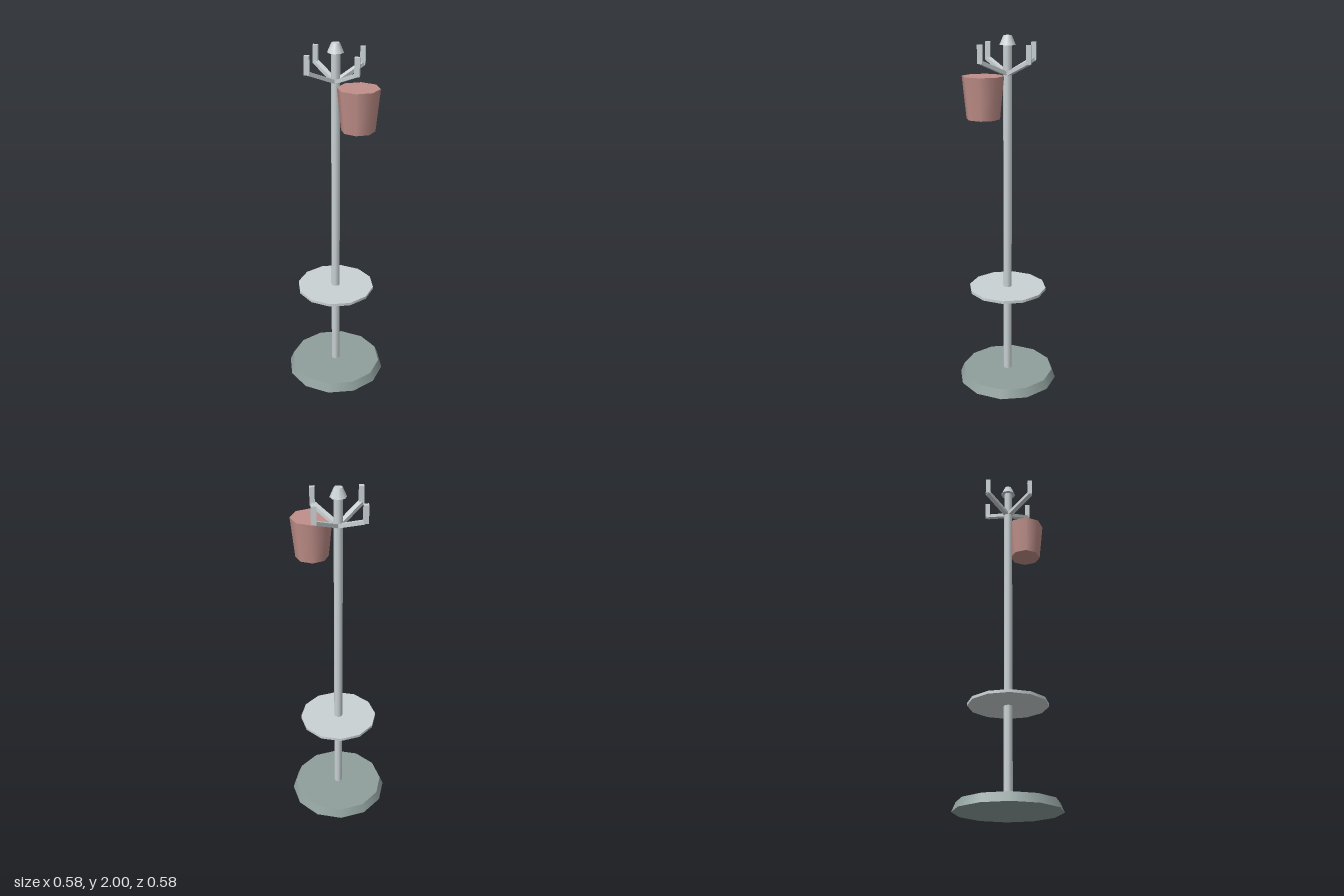
import * as THREE from 'three';

export function createModel() {
  const root = new THREE.Group();
  root.name = 'coatStand';
  const mat = (name, color) => {
    const m = new THREE.MeshStandardMaterial({ color });
    m.name = name;
    return m;
  };
  const metal = mat('paleGreyMetal', 0xcad2d4);
  const baseMat = mat('greyGreen', 0x8f9f9c);
  const potMat = mat('dustyPink', 0xc08f89);

  const add = (name, geo, material, parent = root) => {
    const mesh = new THREE.Mesh(geo, material);
    mesh.name = name;
    parent.add(mesh);
    return mesh;
  };
  // Tapered round part standing between two heights
  const round = (name, rTop, rBottom, y0, y1, sides, material, x = 0, z = 0) => {
    const geo = new THREE.CylinderGeometry(rTop, rBottom, y1 - y0, sides);
    add(name, geo, material).position.set(x, (y0 + y1) / 2, z);
  };

  round('base', 0.267, 0.288, 0, 0.05, 12, baseMat);
  round('shelf', 0.222, 0.222, 0.565, 0.581, 12, metal);
  round('pole', 0.024, 0.024, 0.04, 1.96, 8, metal);
  round('finial', 0.022, 0.044, 1.95, 2, 8, metal);
  round('bucket', 0.111, 0.089, 1.58, 1.802, 8, potMat, 0.133, 0.111);

  // Four sloping arms on the diagonals, each with an upright peg
  for (const sx of [-1, 1]) {
    for (const sz of [-1, 1]) {
      const hook = new THREE.Group();
      hook.name = 'hook';
      root.add(hook);
      const start = new THREE.Vector3(0, 1.797, 0);
      const end = new THREE.Vector3(sx * 0.126, 1.87, sz * 0.126);
      const arm = add('arm', new THREE.BoxGeometry(0.028, 0.02, start.distanceTo(end)), metal, hook);
      arm.position.copy(start).lerp(end, 0.5);
      arm.lookAt(end);
      add('peg', new THREE.BoxGeometry(0.027, 0.095, 0.027), metal, hook)
        .position.set(sx * 0.126, 1.911, sz * 0.126);
    }
  }
  return root;
}
